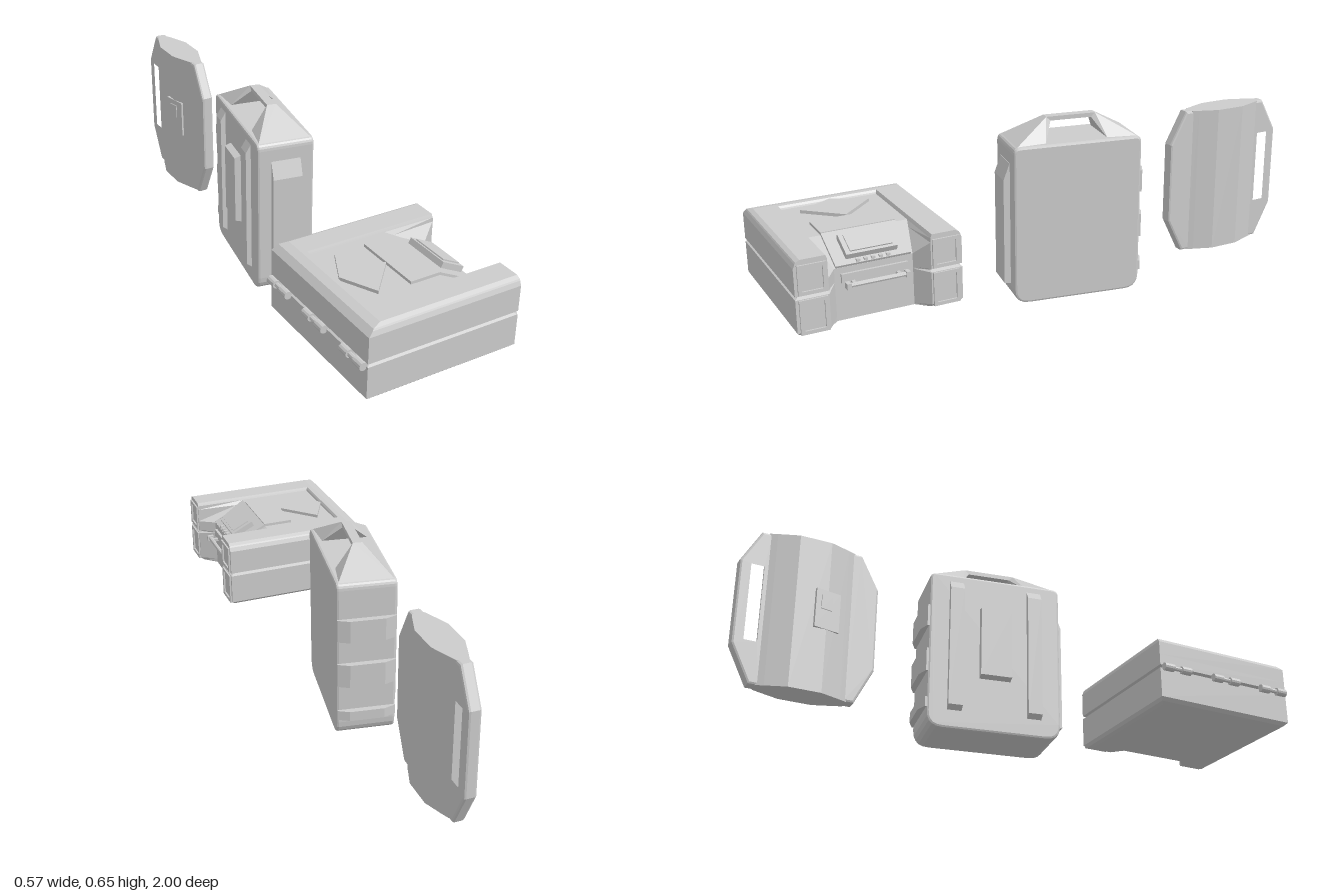
import * as THREE from 'three';
import { ConvexGeometry } from 'three/addons/geometries/ConvexGeometry.js';

const material = new THREE.MeshStandardMaterial({ color: 0xcccccc, flatShading: true });

function add(parent, name, geometry, x = 0, y = 0, z = 0) {
  const mesh = new THREE.Mesh(geometry, material);
  mesh.name = name;
  mesh.position.set(x, y, z);
  parent.add(mesh);
  return mesh;
}

const box = (w, h, d) => new THREE.BoxGeometry(w, h, d);

// Closed solid through horizontal rings: { y, pts: [[x, z], ...] }, anticlockwise from above
function loft(rings) {
  const n = rings[0].pts.length, pos = [], index = [];
  for (const r of rings) for (const [x, z] of r.pts) pos.push(x, r.y, z);
  for (let k = 0; k < rings.length - 1; k++) {
    for (let i = 0; i < n; i++) {
      const a = k * n + i, b = k * n + (i + 1) % n;
      index.push(a, b, b + n, a, b + n, a + n);
    }
  }
  const cap = (r) => THREE.ShapeUtils.triangulateShape(r.pts.map(([x, z]) => new THREE.Vector2(x, -z)), []);
  const top = (rings.length - 1) * n;
  for (const [a, b, c] of cap(rings[0])) index.push(a, c, b);
  for (const [a, b, c] of cap(rings[rings.length - 1])) index.push(top + a, top + b, top + c);
  const g = new THREE.BufferGeometry();
  g.setAttribute('position', new THREE.Float32BufferAttribute(pos, 3));
  g.setIndex(index);
  const flat = g.toNonIndexed();
  flat.computeVertexNormals();
  return flat;
}

const prism = (pts, y0, y1) => loft([{ y: y0, pts }, { y: y1, pts }]);

const polygon = (pts) => new THREE.Shape(pts.map(([x, y]) => new THREE.Vector2(x, y)));

function rectPath(x0, y0, x1, y1) {
  return new THREE.Path([[x0, y0], [x1, y0], [x1, y1], [x0, y1]].map((p) => new THREE.Vector2(...p)));
}

// Extrusion centred on its depth
function slab(shape, depth, bevel = 0) {
  const g = new THREE.ExtrudeGeometry(shape, {
    depth: depth - 2 * bevel, curveSegments: 5, bevelEnabled: bevel > 0,
    bevelSize: bevel, bevelThickness: bevel, bevelOffset: -bevel, bevelSegments: 2,
  });
  return g.translate(0, 0, -(depth - 2 * bevel) / 2);
}

// Same, with the shape drawn in (z, y) and the depth along x
const sideSlab = (shape, depth, bevel) => slab(shape, depth, bevel).rotateY(-Math.PI / 2);

function createCase() {
  const g = new THREE.Group();
  g.name = 'carryCase';
  g.position.z = 0.725;

  // Outline with a handle notch on the +x side
  const ring = (y, { back = 0, side = 0, front = 0, nx = 0.22, nIn = 0.13, nOut = 0.168 } = {}) => {
    const x0 = -0.265 + back, x1 = 0.279 - front, w = 0.275 - side;
    const half = [[x0, w], [x1, w], [x1, nOut], [nx, nIn]];
    return { y, pts: [...half, ...half.map(([x, z]) => [x, -z]).reverse()] };
  };
  add(g, 'caseBase', loft([
    ring(0.163, { back: 0.035, side: 0.025, front: 0.02 }),
    ring(0.168, { back: 0.015, side: 0.01, front: 0.01 }),
    ring(0.178), ring(0.288), ring(0.294, { back: 0.012, side: 0.012, front: 0.012 }),
  ]));
  // Lid: sloped above the notch, with a sunken tray on top
  const slope = (f) => ({ nx: 0.22 - 0.13 * f, nIn: 0.13 + 0.038 * f });
  add(g, 'caseLid', loft([
    ring(0.294, { back: 0.012, side: 0.012, front: 0.012 }),
    ring(0.3), ring(0.34), ring(0.39, slope(0.77)),
    ring(0.405, { ...slope(1), back: 0.015, side: 0.006 }),
    ring(0.405, { nx: -0.19, nIn: 0.168, back: 0.015, side: 0.006 }),
    ring(0.41, { nx: -0.192, nIn: 0.17, nOut: 0.17, back: 0.02, side: 0.009 }),
    ring(0.417, { nx: -0.197, nIn: 0.173, nOut: 0.173, back: 0.05, side: 0.022 }),
  ]));

  // Raised shapes in the tray
  add(g, 'diamondPlate', prism([[-0.19, 0], [-0.13, 0.12], [-0.02, 0], [-0.13, -0.12]], 0.4, 0.416));
  add(g, 'topPlate', box(0.11, 0.016, 0.25), 0.038, 0.407, 0);
  add(g, 'slopePlate', box(0.145, 0.016, 0.25), 0.155, 0.373, 0).rotation.z = -0.464;
  add(g, 'latch', box(0.09, 0.035, 0.17), 0.165, 0.38, 0).rotation.z = -0.464;
  add(g, 'latchFace', box(0.07, 0.035, 0.14), 0.167, 0.384, 0).rotation.z = -0.464;
  for (let i = -2; i <= 2; i++) add(g, 'stud', box(0.012, 0.01, 0.012), 0.216, 0.352, i * 0.025);

  // Carry handle
  add(g, 'handleMount', box(0.015, 0.03, 0.22), 0.222, 0.305, 0);
  const bar = add(g, 'handleBar', new THREE.CylinderGeometry(0.008, 0.008, 0.2, 8), 0.253, 0.29, 0);
  bar.rotation.x = Math.PI / 2;
  for (const s of [-1, 1]) {
    add(g, 'handleArm', box(0.05, 0.01, 0.012), 0.234, 0.29, s * 0.075);
    add(g, 'handleEnd', box(0.024, 0.02, 0.014), 0.253, 0.29, s * 0.098);
    // Framed end panels
    for (const [y0, y1] of [[0.172, 0.286], [0.302, 0.4]]) {
      const frame = polygon([[-0.046, y0], [0.046, y0], [0.046, y1], [-0.046, y1]]);
      frame.holes.push(rectPath(-0.034, y0 + 0.012, 0.034, y1 - 0.012));
      add(g, 'endFrame', sideSlab(frame, 0.01), 0.28, 0, s * 0.219);
    }
  }

  // Hinges
  for (const z of [-0.21, 0, 0.21]) {
    add(g, 'hingePin', new THREE.CylinderGeometry(0.008, 0.008, 0.11, 8), -0.274, 0.29, z).rotation.x = Math.PI / 2;
    for (const s of [-1, 1]) {
      add(g, 'hingeKnuckle', new THREE.CylinderGeometry(0.014, 0.014, 0.04, 12), -0.274, 0.29, z + s * 0.036).rotation.x = Math.PI / 2;
    }
  }
  return g;
}

function createCanister() {
  const g = new THREE.Group();
  g.name = 'canister';
  g.position.set(0.01, 0, -0.095);
  g.rotation.y = -0.172;

  // Body: rounded side profile
  const L = 0.235, H = 0.578, rb = 0.055, rt = 0.025;
  const side = new THREE.Shape();
  side.moveTo(-L + rb, 0).lineTo(L - rb, 0).quadraticCurveTo(L, 0, L, rb);
  side.lineTo(L, H - rt).quadraticCurveTo(L, H, L - rt, H);
  side.lineTo(-L + rt, H).quadraticCurveTo(-L, H, -L, H - rt);
  side.lineTo(-L, rb).quadraticCurveTo(-L, 0, -L + rb, 0);
  add(g, 'canisterBody', sideSlab(side, 0.204, 0.008));

  // Top handle: hipped legs joined by a ridge bar
  for (const s of [-1, 1]) {
    const pts = [];
    for (const m of [-1, 1]) {
      for (const [x, y, z] of [[0.097, 0.572, 0.228], [0.085, 0.572, 0.115], [0.016, 0.653, 0.09], [0.016, 0.638, 0.075]]) {
        pts.push(new THREE.Vector3(m * x, y, s * z));
      }
    }
    add(g, 'handleLeg', new ConvexGeometry(pts));
  }
  add(g, 'handleRidge', box(0.032, 0.015, 0.18), 0, 0.6455, 0);

  // Raised panel on the front end
  add(g, 'frontPanel', sideSlab(polygon([[0.22, 0.06], [0.258, 0.066], [0.258, 0.45], [0.236, 0.51], [0.22, 0.51]]), 0.105));

  // Ribs and plate on the -x side
  for (const s of [-1, 1]) {
    add(g, 'sideRib', slab(polygon([[-0.095, 0.06], [-0.095, 0.55], [-0.102, 0.55], [-0.12, 0.52], [-0.12, 0.08]].reverse()), 0.05), 0, 0, s * 0.14);
  }
  add(g, 'sidePlate', slab(polygon([[-0.095, 0.19], [-0.095, 0.46], [-0.125, 0.45], [-0.125, 0.2]].reverse()), 0.11));

  // Bands round the back end
  for (const [y0, y1] of [[0.37, 0.45], [0.2, 0.285], [0.07, 0.105]]) {
    add(g, 'backBand', prism([[-0.1, -0.225], [0.1, -0.225], [0.1, -0.24], [0.06, -0.256], [-0.06, -0.256], [-0.1, -0.24]], y0, y1));
  }
  return g;
}

function createShield() {
  const g = new THREE.Group();
  g.name = 'shield';
  g.position.set(0.005, 0.32, -0.76);

  // Thick middle, tapering to the grips
  const profile = [[0.02, 0.15], [0.03, 0.125], [0.055, 0.055]];
  const right = [...profile, ...profile.map(([x, z]) => [x, -z]).reverse()];
  add(g, 'shieldCore', prism([...right, ...right.map(([x, z]) => [-x, z]).reverse()], -0.275, 0.275));

  // Grip frames at both ends
  for (const s of [-1, 1]) {
    const pts = [[0.135, -0.275], [0.175, -0.275], [0.24, -0.145], [0.24, 0.155], [0.175, 0.275], [0.135, 0.275]];
    const frame = polygon(pts.map(([z, y]) => [s * z, y]));
    frame.holes.push(rectPath(s * 0.15, -0.135, s * 0.21, 0.155));
    add(g, 'gripFrame', sideSlab(frame, 0.044, 0.008));
  }

  // Small fitting on the -x face
  add(g, 'fittingPlate', box(0.012, 0.14, 0.09), -0.05, 0.02, 0.055).rotation.y = 0.2;
  add(g, 'fittingButton', box(0.012, 0.05, 0.04), -0.054, 0.045, 0.05).rotation.y = 0.2;
  return g;
}

export function createModel() {
  const model = new THREE.Group();
  model.name = 'equipmentSet';
  model.add(createCase(), createCanister(), createShield());
  return model;
}
